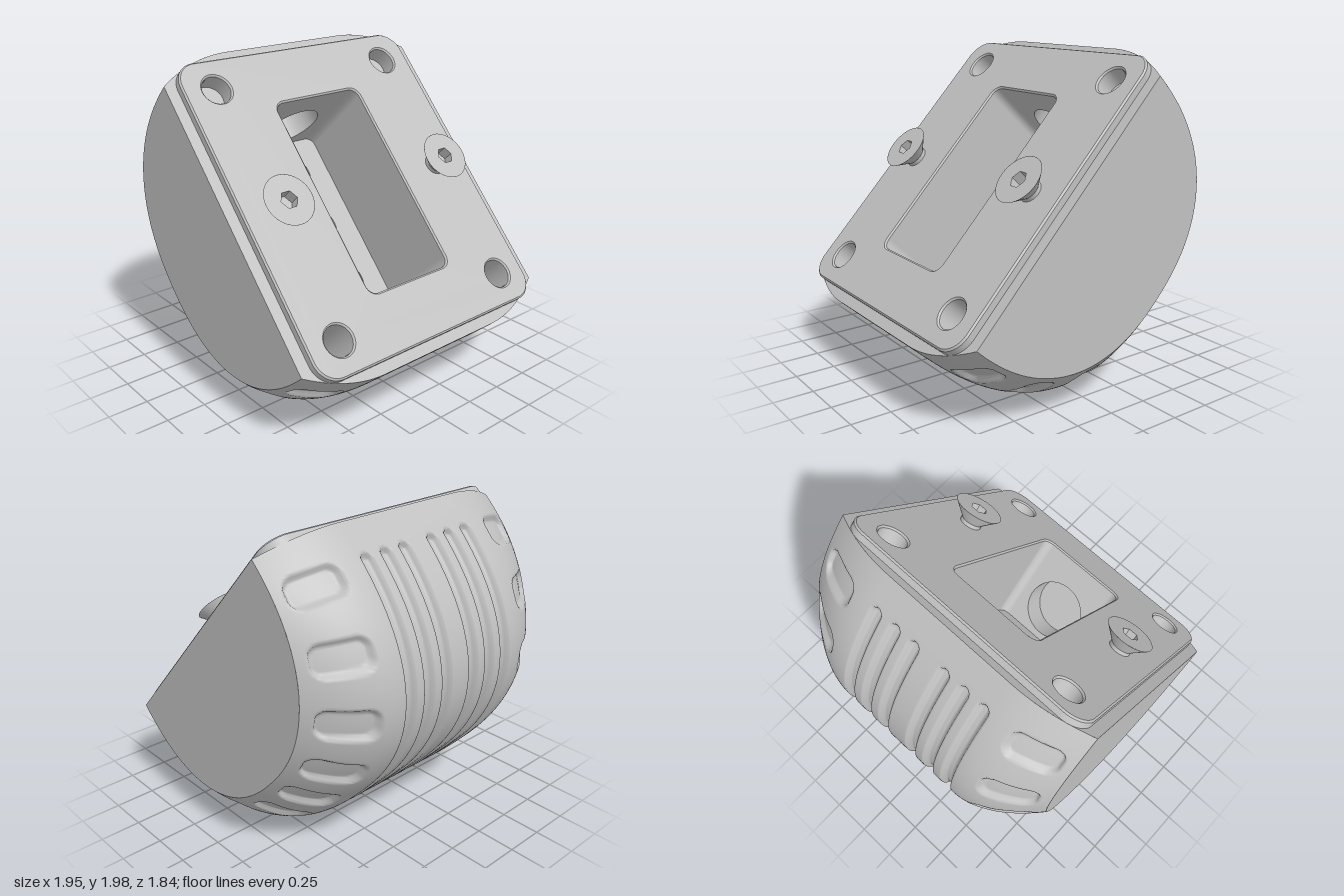
import * as THREE from 'three';

const grey = new THREE.MeshStandardMaterial({ color: 0xc0c0c0, side: THREE.DoubleSide });
grey.name = 'plain grey';

const HALF = 0.92;      // half width of the body along z
const PLATE_TOP = 0.05; // raised face plate height
const POCKET = { u: 0.63, z: 0.315, r: 0.06, floor: -0.58 };

function add(parent, name, geometry, x = 0, y = 0, z = 0) {
  const mesh = new THREE.Mesh(geometry, grey);
  mesh.name = name;
  mesh.position.set(x, y, z);
  parent.add(mesh);
  return mesh;
}

// Dome section at a given z: rounded-square outline that shrinks over the shoulders
function radius(phi, z) {
  const t = Math.max(0, (Math.abs(z) - 0.43) / (HALF - 0.43)), s = t * t;
  const a = 1.05 - 0.16 * s, b = 1.2 - 0.27 * s, p = 2.63 - 0.33 * s;
  return Math.pow(Math.pow(Math.abs(Math.cos(phi)) / a, p) + Math.pow(Math.abs(Math.sin(phi)) / b, p), -1 / p);
}

// Depth of the long grip grooves and the rounded shoulder recesses
const PADS = [-74.5, -54, -35, -17.2, 0, 17.2, 35, 54, 74.5].map(d => (90 + d) * Math.PI / 180);
function recess(phi, z, r) {
  const az = Math.abs(z), w = r * Math.sin(phi);
  let depth = 0;
  for (const c of [0.11, 0.25, 0.39]) {
    const d = Math.hypot(az - c, Math.max(0, 0.24 - w));
    depth = Math.max(depth, 0.035 * (1 - THREE.MathUtils.smoothstep(d, 0.022, 0.042)));
  }
  for (const c of PADS) {
    const qx = Math.abs(r * (phi - c)) - 0.025, qz = Math.abs(az - 0.72) - 0.08;
    const d = Math.hypot(Math.max(qx, 0), Math.max(qz, 0)) + Math.min(Math.max(qx, qz), 0) - 0.07;
    depth = Math.max(depth, 0.035 * (1 - THREE.MathUtils.smoothstep(d, -0.025, 0.002)));
  }
  return depth;
}

function domeGeometry() {
  const rows = 240, cols = 184, pos = [], index = [];
  for (let i = 0; i <= rows; i++) {
    const phi = Math.PI * i / rows;
    for (let j = 0; j <= cols; j++) {
      const z = -HALF + 2 * HALF * j / cols;
      const r0 = radius(phi, z), r = r0 - recess(phi, z, r0);
      pos.push(r * Math.cos(phi), -r * Math.sin(phi), z);
      if (i < rows && j < cols) {
        const k = i * (cols + 1) + j, n = k + cols + 1;
        index.push(k, k + 1, n, k + 1, n + 1, n);
      }
    }
  }
  const g = new THREE.BufferGeometry();
  g.setAttribute('position', new THREE.Float32BufferAttribute(pos, 3));
  g.setIndex(index);
  g.computeVertexNormals();
  return g;
}

function roundedRect(target, hx, hy, r) {
  target.absarc(hx - r, hy - r, r, 0, Math.PI / 2);
  target.absarc(-hx + r, hy - r, r, Math.PI / 2, Math.PI);
  target.absarc(-hx + r, -hy + r, r, Math.PI, Math.PI * 1.5);
  target.absarc(hx - r, -hy + r, r, Math.PI * 1.5, Math.PI * 2);
  target.closePath();
  return target;
}

const circle = (x, y, r) => new THREE.Path().absarc(x, y, r, 0, Math.PI * 2);
const flatUp = shape => new THREE.ShapeGeometry(shape, 16).rotateX(-Math.PI / 2);

// Closed-bottom bore going down local -y
function bore(parent, name, r, depth) {
  const g = new THREE.Group();
  g.name = name;
  add(g, 'boreWall', new THREE.CylinderGeometry(r, r, depth, 32, 1, true), 0, -depth / 2, 0);
  add(g, 'boreEnd', new THREE.CircleGeometry(r, 32).rotateX(-Math.PI / 2), 0, -depth, 0);
  parent.add(g);
  return g;
}

function body(parent) {
  add(parent, 'dome', domeGeometry());
  // flat sides
  const outline = [];
  for (let i = 0; i <= 80; i++) {
    const phi = Math.PI * i / 80, r = radius(phi, HALF);
    outline.push(new THREE.Vector2(r * Math.cos(phi), -r * Math.sin(phi)));
  }
  const side = new THREE.ShapeGeometry(new THREE.Shape(outline));
  add(parent, 'leftSide', side, 0, 0, HALF);
  add(parent, 'rightSide', side, 0, 0, -HALF).rotation.y = Math.PI;
  // rim around the plate
  const right = [], left = [];
  for (let i = 0; i <= 46; i++) {
    const z = -HALF + 2 * HALF * i / 46, r = radius(0, z);
    right.push(new THREE.Vector2(r, z));
    left.unshift(new THREE.Vector2(-r, z));
  }
  const rim = new THREE.Shape([...right, ...left]);
  rim.holes.push(roundedRect(new THREE.Path(), 0.96, 0.83, 0.13));
  add(parent, 'rim', flatUp(rim));
}

function plate(parent) {
  const s = roundedRect(new THREE.Shape(), 0.985, 0.85, 0.14);
  s.holes.push(roundedRect(new THREE.Path(), POCKET.u, POCKET.z, POCKET.r));
  for (const u of [-0.79, 0.79]) for (const z of [-0.64, 0.64]) {
    s.holes.push(circle(u, z, 0.09));
    bore(parent, 'cornerHole', 0.09, u < 0 ? 0.11 : 0.32).position.set(u, PLATE_TOP - 0.01, z);
  }
  const g = new THREE.ExtrudeGeometry(s, {
    depth: 0.05, bevelThickness: 0.01, bevelSize: 0.01, bevelOffset: -0.01, bevelSegments: 1, curveSegments: 16
  });
  add(parent, 'facePlate', g.rotateX(-Math.PI / 2), 0, PLATE_TOP - 0.06, 0);
}

function pocket(parent) {
  const { u, z, r, floor } = POCKET, height = PLATE_TOP - 0.01 - floor, mid = floor + height / 2;
  // floor with three bores
  const f = roundedRect(new THREE.Shape(), u, z, r);
  for (const x of [-0.4, 0, 0.4]) {
    f.holes.push(circle(x, 0, 0.165));
    bore(parent, 'floorBore', 0.165, 0.27).position.set(x, floor, 0);
  }
  add(parent, 'pocketFloor', flatUp(f), 0, floor, 0);
  for (const s of [-1, 1]) {
    // long walls and rounded corners
    add(parent, 'pocketSideWall', new THREE.PlaneGeometry(2 * (u - r), height), 0, mid, s * z)
      .rotation.y = s > 0 ? Math.PI : 0;
    for (const e of [-1, 1]) {
      const start = Math.atan2(e, s) - Math.PI / 4;
      add(parent, 'pocketCorner', new THREE.CylinderGeometry(r, r, height, 8, 1, true, start, Math.PI / 2),
        e * (u - r), mid, s * (z - r));
    }
    // end wall with a large cable bore
    const h = height / 2, w = z - r, end = new THREE.Shape();
    end.moveTo(-w, -h).lineTo(w, -h).lineTo(w, h).lineTo(-w, h).closePath();
    end.holes.push(circle(0, -0.335 - mid, 0.2));
    add(parent, 'pocketEndWall', new THREE.ShapeGeometry(end, 16), s * u, mid, 0).rotation.y = -s * Math.PI / 2;
    const b = bore(parent, 'cableBore', 0.2, 0.19);
    b.position.set(s * u, -0.335, 0);
    b.rotation.z = s * Math.PI / 2;
  }
}

function screw(parent, z) {
  const g = new THREE.Group();
  g.name = 'countersunkScrew';
  const top = 0.166, hexR = 0.055;
  add(g, 'screwShaft', new THREE.CylinderGeometry(0.07, 0.07, 0.085, 32, 1, true), 0, 0.035, 0);
  add(g, 'screwCone', new THREE.CylinderGeometry(0.155, 0.07, top - 0.075, 40, 1, true), 0, (top + 0.075) / 2, 0);
  const head = new THREE.Shape().absarc(0, 0, 0.155, 0, Math.PI * 2), hex = [];
  for (let i = 0; i < 6; i++) {
    const a = Math.PI / 2 + i * Math.PI / 3;
    hex.push(new THREE.Vector2(hexR * Math.cos(a), hexR * Math.sin(a)));
  }
  head.holes.push(new THREE.Path(hex));
  add(g, 'screwHead', flatUp(head), 0, top, 0);
  const socket = new THREE.CylinderGeometry(hexR, hexR, 0.07, 6, 1, true).toNonIndexed();
  socket.computeVertexNormals();
  add(g, 'hexSocket', socket, 0, top - 0.035, 0);
  add(g, 'socketFloor', flatUp(new THREE.Shape(hex)), 0, top - 0.07, 0);
  g.position.z = z;
  parent.add(g);
}

export function createModel() {
  const model = new THREE.Group();
  model.name = 'gripBlock';
  // everything is built with the face plate up, then tilted
  const tilted = new THREE.Group();
  tilted.name = 'tiltedBlock';
  tilted.position.set(0.25, 1.235, 0);
  tilted.rotation.z = -Math.atan2(0.728, 0.685);
  body(tilted);
  plate(tilted);
  pocket(tilted);
  for (const z of [-0.61, 0.61]) screw(tilted, z);
  model.add(tilted);
  return model;
}
